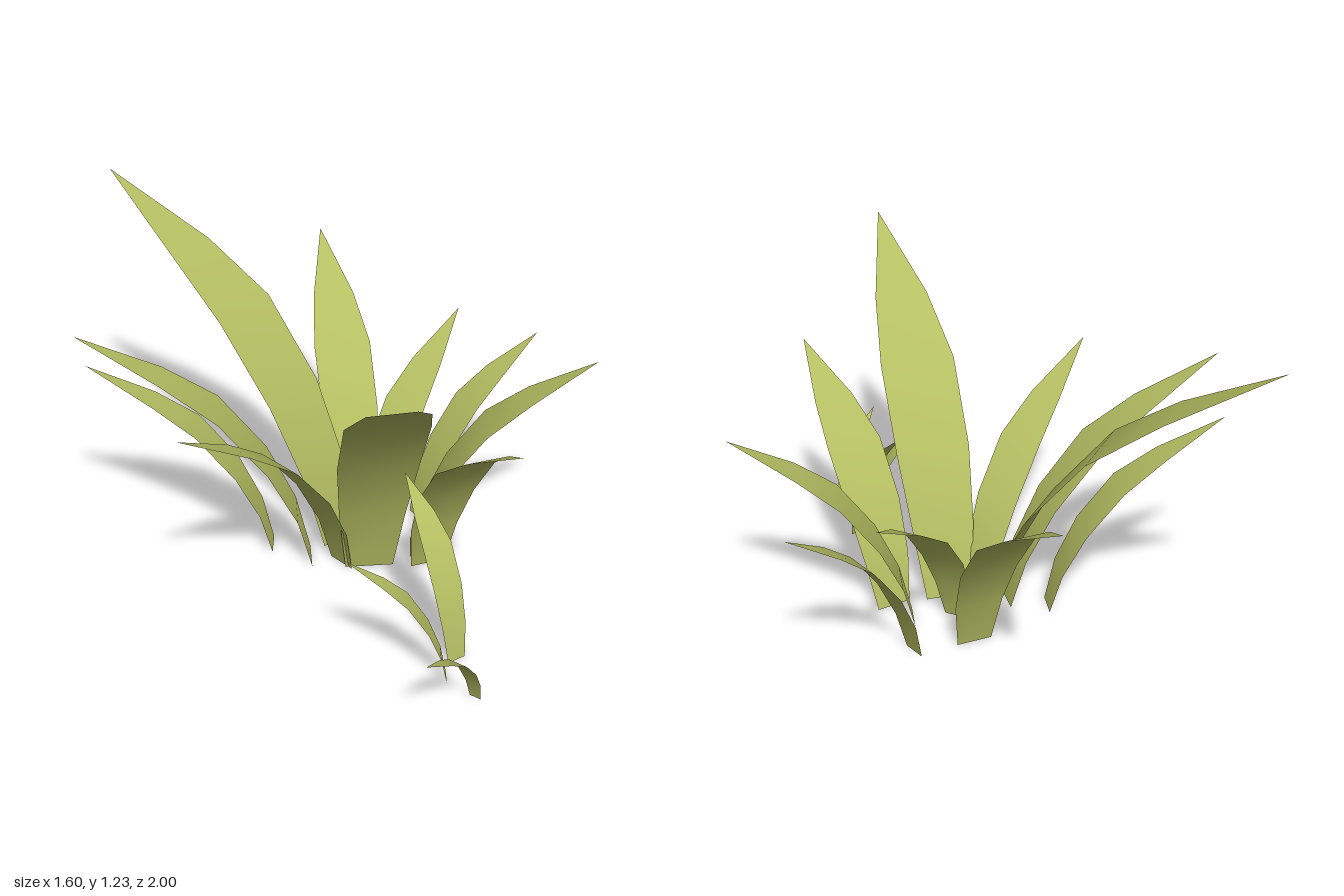
import * as THREE from 'three';

// Shared blade profile from root to tip: [reach, height, width] as fractions
const PROFILE = [
  [0, 0, 0.6],
  [0.065, 0.22, 0.82],
  [0.195, 0.445, 0.97],
  [0.405, 0.675, 0.98],
  [0.64, 0.822, 0.7],
];

// A flat, arching, pointed blade; its width lies level, across the direction of growth
function bladeGeometry([rootX, rootZ], [tipX, tipY, tipZ], width) {
  const dx = tipX - rootX, dz = tipZ - rootZ, length = Math.hypot(dx, dz);
  const sideX = dz / length, sideZ = -dx / length;
  const positions = [], index = [];
  PROFILE.forEach(([reach, height, spread], row) => {
    for (const side of [-0.5, 0.5]) {
      const offset = side * spread * width;
      positions.push(
        rootX + dx * reach + sideX * offset,
        tipY * height,
        rootZ + dz * reach + sideZ * offset
      );
    }
    const a = row * 2;
    if (row < PROFILE.length - 1) index.push(a, a + 1, a + 3, a, a + 3, a + 2);
    else index.push(a, a + 1, a + 2);
  });
  positions.push(tipX, tipY, tipZ);

  const geometry = new THREE.BufferGeometry();
  geometry.setAttribute('position', new THREE.Float32BufferAttribute(positions, 3));
  geometry.setIndex(index);
  geometry.computeVertexNormals();
  return geometry;
}

// Each leaf: name, root [x, z], tip [x, y, z], greatest width
const MAIN_LEAVES = [
  ['backLeaf', [0.052, 0.05], [0.022, 1.23, -1.0], 0.295],
  ['frontRightTallLeaf', [-0.035, 0.255], [-0.75, 1.21, 0.915], 0.29],
  ['frontLeaf', [0.11, 0.415], [-0.26, 0.845, 0.985], 0.22],
  ['frontLeftLeaf', [0.15, 0.31], [0.505, 0.803, 0.83], 0.205],
  ['leftLeaf', [0.07, 0.165], [0.7, 0.725, 0.13], 0.168],
  ['leftLowLeaf', [0.34, 0.205], [0.8, 0.67, 0.42], 0.15],
  ['backLeftLeaf', [0.19, 0.035], [0.693, 0.883, -0.525], 0.22],
  ['backRightLeaf', [-0.115, 0.05], [-0.64, 0.935, -0.56], 0.22],
  ['backRightLowLeaf', [-0.14, -0.11], [-0.52, 0.745, -0.64], 0.17],
  ['rightLeaf', [-0.08, 0.163], [-0.8, 0.815, 0.04], 0.18],
];

const SPROUT_LEAVES = [
  ['sproutInnerLeaf', [-0.295, 0.805], [-0.185, 0.572, 0.5], 0.115],
  ['sproutMiddleLeaf', [-0.395, 0.83], [-0.595, 0.463, 0.56], 0.095],
  ['sproutOuterLeaf', [-0.42, 0.959], [-0.74, 0.335, 0.97], 0.068],
];

export function createModel() {
  const leafGreen = new THREE.MeshStandardMaterial({ color: 0xb4be62 });
  leafGreen.name = 'leafGreen';
  leafGreen.side = THREE.DoubleSide;

  const plant = new THREE.Group();
  plant.name = 'plant';
  const clumps = { mainClump: MAIN_LEAVES, sideSprout: SPROUT_LEAVES };
  for (const [clumpName, leaves] of Object.entries(clumps)) {
    const clump = new THREE.Group();
    clump.name = clumpName;
    for (const [name, root, tip, width] of leaves) {
      const leaf = new THREE.Mesh(bladeGeometry(root, tip, width), leafGreen);
      leaf.name = name;
      clump.add(leaf);
    }
    plant.add(clump);
  }
  return plant;
}
